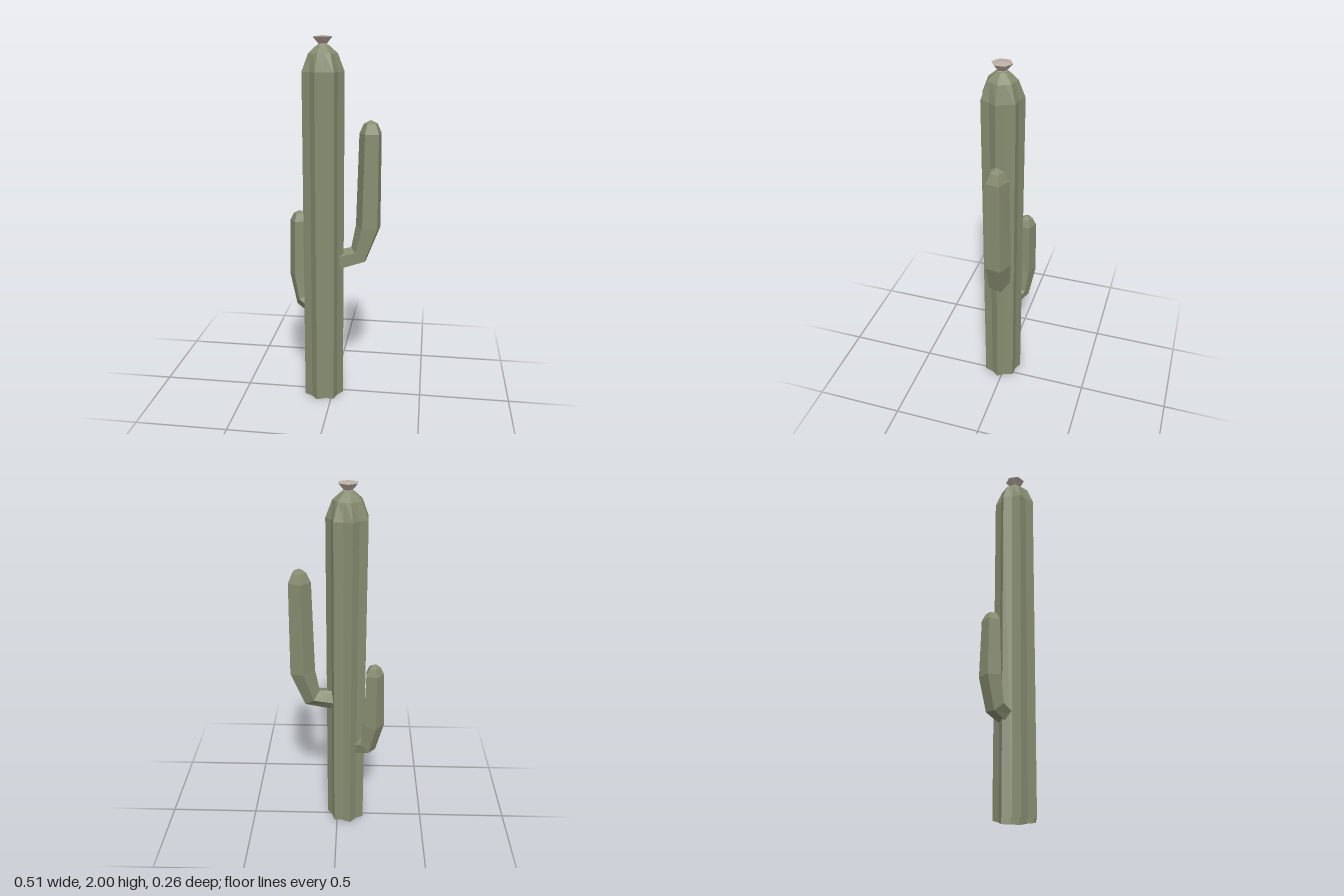
import * as THREE from 'three';

const green = new THREE.MeshStandardMaterial({ color: 0x868c70, flatShading: true, side: THREE.DoubleSide });
green.name = 'cactus green';
const pink = new THREE.MeshStandardMaterial({ color: 0xbcafa5, flatShading: true, side: THREE.DoubleSide });
pink.name = 'dusty flower pink';

const TRUNK = { x: -0.053, z: 0.022 };

// Skins a stack of rings (arrays of Vector3), optionally closing the start and ending in a point.
function loft(name, rings, material, { tip, base } = {}) {
  const pos = [];
  const tri = (...pts) => pts.forEach(p => pos.push(p.x, p.y, p.z));
  const n = rings[0].length;
  for (let j = 0; j < n; j++) {
    const k = (j + 1) % n;
    for (let i = 0; i + 1 < rings.length; i++) {
      const a = rings[i], b = rings[i + 1];
      tri(a[j], b[j], b[k]);
      tri(a[j], b[k], a[k]);
    }
    const last = rings[rings.length - 1];
    if (tip) tri(last[j], tip, last[k]);
    if (base) tri(rings[0][j], rings[0][k], base);
  }
  const geo = new THREE.BufferGeometry();
  geo.setAttribute('position', new THREE.Float32BufferAttribute(pos, 3));
  geo.computeVertexNormals();
  const mesh = new THREE.Mesh(geo, material);
  mesh.name = name;
  return mesh;
}

// Horizontal ring around the trunk axis; radius alternates between ridge and valley.
function ring(y, n, ridge, valley = ridge, phase = 0) {
  return Array.from({ length: n }, (_, i) => {
    const a = phase + (i / n) * Math.PI * 2;
    const r = i % 2 ? valley : ridge;
    return new THREE.Vector3(TRUNK.x + r * Math.cos(a), y, TRUNK.z + r * Math.sin(a));
  });
}

// Five-sided arm. Sections: [distance from trunk axis, height, radius, tilt in degrees].
function arm(name, heading, phase, sections, tipY) {
  const rad = THREE.MathUtils.degToRad;
  const c = Math.cos(rad(heading)), s = Math.sin(rad(heading));
  const place = (d, y, side) => new THREE.Vector3(TRUNK.x + c * d - s * side, y, TRUNK.z + s * d + c * side);
  const rings = sections.map(([d, y, r, tilt]) =>
    Array.from({ length: 5 }, (_, i) => {
      const a = rad(phase + i * 72), u = r * Math.cos(a);
      return place(d + u * Math.cos(rad(tilt)), y + u * Math.sin(rad(tilt)), r * Math.sin(a));
    }));
  const first = sections[0], last = sections[sections.length - 1];
  return loft(name, rings, green, { tip: place(last[0], tipY, 0), base: place(first[0], first[1], 0) });
}

export function createModel() {
  const group = new THREE.Group();
  group.name = 'cactus';

  // Seven-ribbed trunk, open underneath, with a faceted dome
  group.add(loft('trunk', [
    ring(0, 14, 0.111, 0.091),
    ring(1.82, 14, 0.113, 0.092),
    ring(1.91, 14, 0.078, 0.07),
    ring(1.952, 14, 0.03, 0.028),
  ], green, { tip: new THREE.Vector3(TRUNK.x, 1.96, TRUNK.z) }));

  // Hexagonal flower on the crown
  group.add(loft('flower', [
    ring(1.945, 6, 0.026, 0.026, Math.PI / 6),
    ring(1.958, 6, 0.024, 0.024, Math.PI / 6),
    ring(1.992, 6, 0.054, 0.054, Math.PI / 6),
  ], pink, { tip: new THREE.Vector3(TRUNK.x, 2, TRUNK.z) }));

  // Tall arm on the model's left
  group.add(arm('leftArm', -11, -18, [
    [0.085, 0.8, 0.058, -80],
    [0.195, 0.828, 0.06, -45],
    [0.247, 0.99, 0.071, -5],
    [0.252, 1.5, 0.062, 0],
    [0.252, 1.55, 0.038, 0],
  ], 1.57));

  // Short arm towards the back right
  group.add(arm('rightArm', 213, -30, [
    [0.05, 0.5, 0.048, -75],
    [0.145, 0.54, 0.054, -45],
    [0.176, 0.69, 0.061, -5],
    [0.177, 1.0, 0.052, 0],
    [0.177, 1.04, 0.032, 0],
  ], 1.056));

  return group;
}
